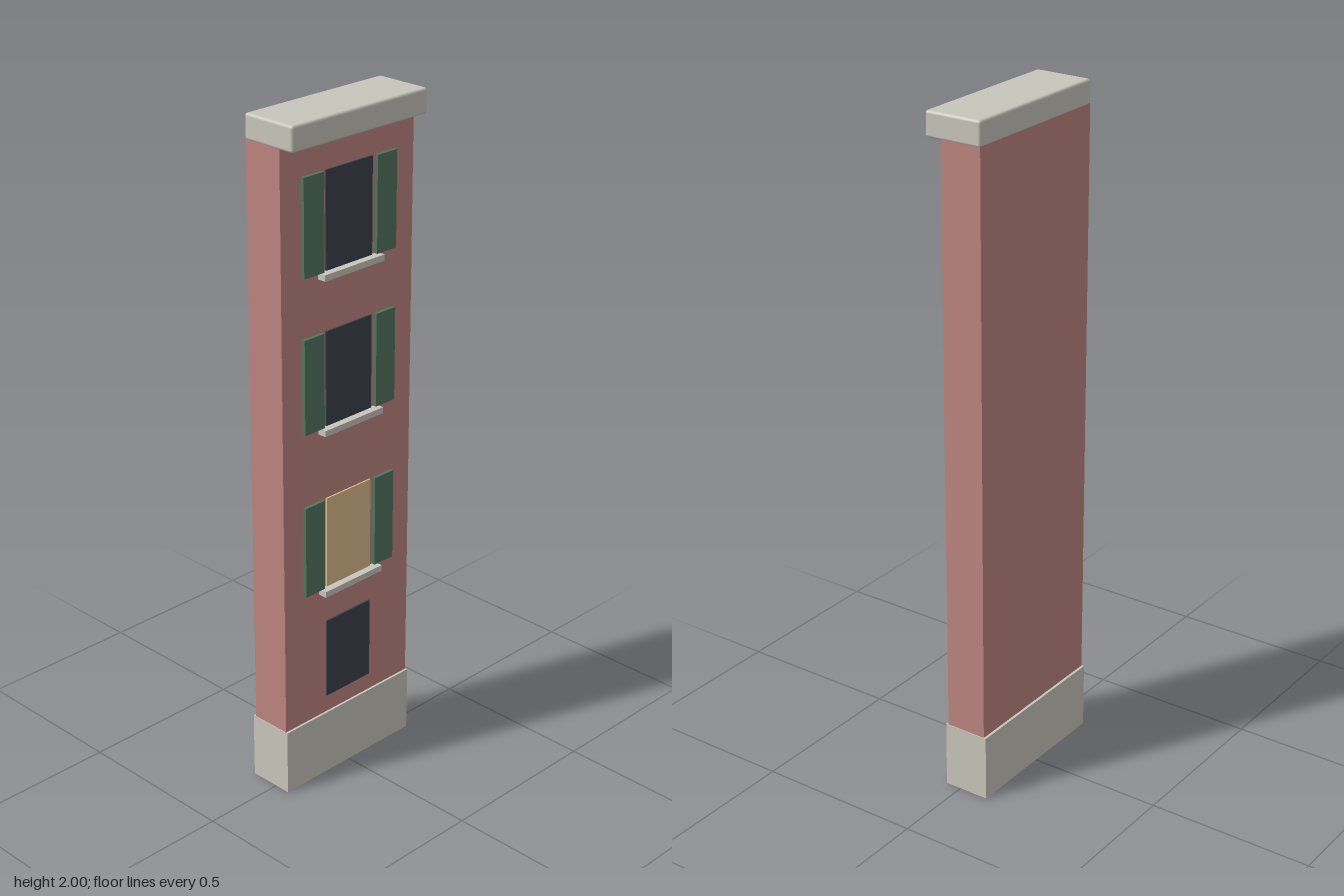
import * as THREE from 'three';
import { RoundedBoxGeometry } from 'three/addons/geometries/RoundedBoxGeometry.js';

const mat = (color) => new THREE.MeshStandardMaterial({ color });

export function createModel() {
  const model = new THREE.Group();
  model.name = 'townhouseFacade';

  const brick = mat(0xbc847e);
  const stone = mat(0xc8c5bb);
  const green = mat(0x50755c);
  const darkGlass = mat(0x3a404b);
  const litGlass = mat(0xdcbc8c);

  // Adds a box given by its [min, max] extents on each axis
  function box(name, [x0, x1], [y0, y1], [z0, z1], material, parent = model, radius = 0) {
    const size = [x1 - x0, y1 - y0, z1 - z0];
    const geometry = radius
      ? new RoundedBoxGeometry(...size, 2, radius)
      : new THREE.BoxGeometry(...size);
    const mesh = new THREE.Mesh(geometry, material);
    mesh.name = name;
    mesh.position.set((x0 + x1) / 2, (y0 + y1) / 2, (z0 + z1) / 2);
    parent.add(mesh);
    return mesh;
  }

  // Main masses
  const wallFront = 0.042;
  box('wall', [-0.248, 0.248], [0.2, 1.935], [-0.083, wallFront], brick);
  box('plinth', [-0.25, 0.25], [0, 0.2], [-0.091, 0.049], stone);
  box('cornice', [-0.25, 0.25], [1.928, 2], [-0.084, 0.09], stone, model, 0.008);

  // Ground floor window, without shutters or sill
  box('groundWindow', [-0.087, 0.087], [0.255, 0.502], [0.036, 0.047], darkGlass);

  // Upper windows, each with a pane, a sill and a pair of shutters
  const floors = [
    { bottom: 0.615, glass: litGlass },
    { bottom: 1.113, glass: darkGlass },
    { bottom: 1.563, glass: darkGlass },
  ];
  for (const { bottom, glass } of floors) {
    const unit = new THREE.Group();
    unit.name = 'windowUnit';
    model.add(unit);
    const heights = [bottom, bottom + 0.277];
    box('pane', [-0.087, 0.087], heights, [0.036, 0.047], glass, unit);
    box('sill', [-0.113, 0.113], [bottom - 0.018, bottom], [0.036, 0.069], stone, unit);
    box('leftShutter', [0.1, 0.174], heights, [0.036, 0.053], green, unit);
    box('rightShutter', [-0.174, -0.1], heights, [0.036, 0.053], green, unit);
  }
  return model;
}
